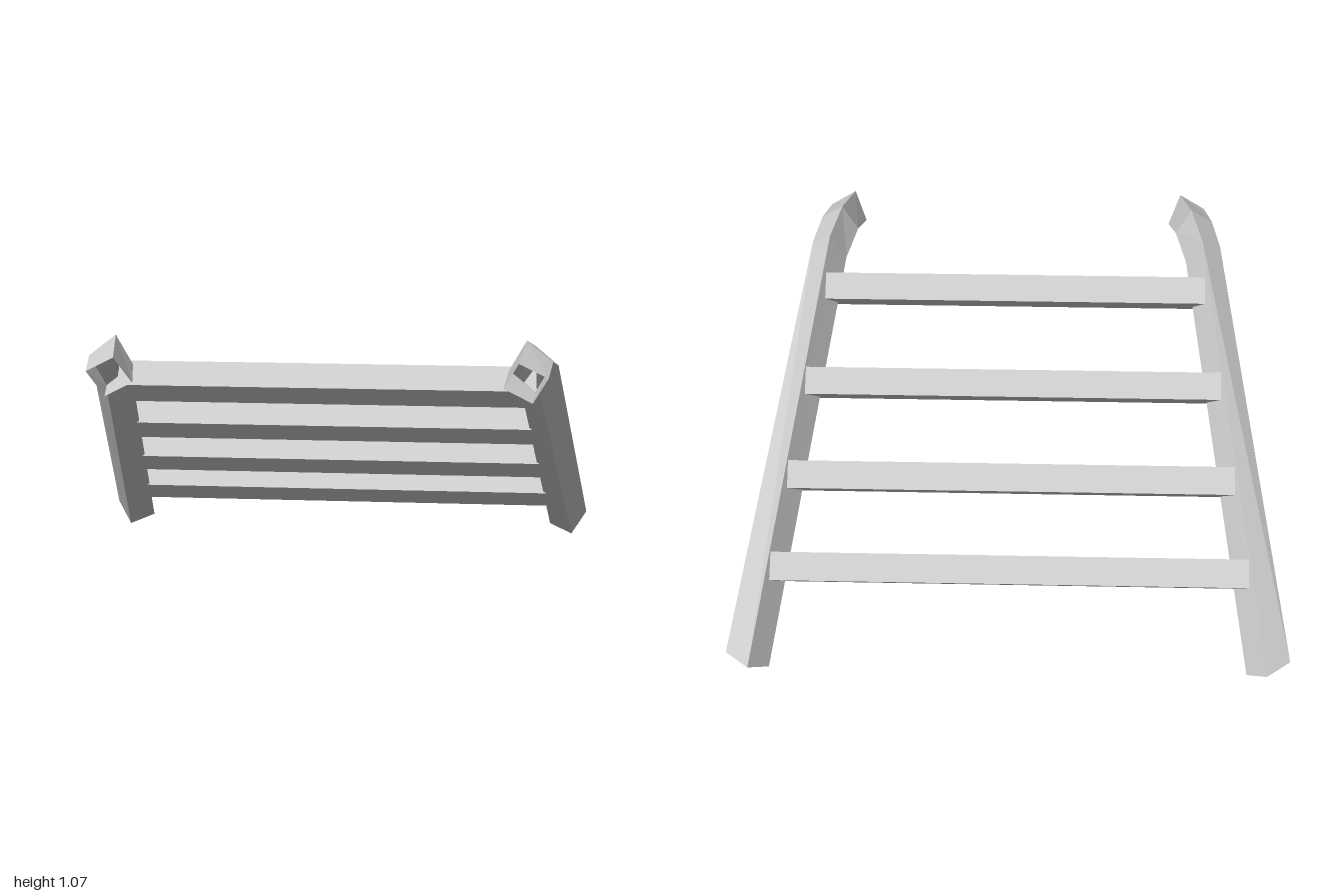
import * as THREE from 'three';

// Open square tube skinned through rings of four corners (top, outer, bottom, inner)
function squareTube(rings) {
  const pos = [];
  for (let r = 0; r < rings.length - 1; r++) {
    for (let i = 0; i < 4; i++) {
      const j = (i + 1) % 4;
      const a = rings[r][i], b = rings[r][j], c = rings[r + 1][j], d = rings[r + 1][i];
      pos.push(...a, ...c, ...b, ...a, ...d, ...c);
    }
  }
  const geometry = new THREE.BufferGeometry();
  geometry.setAttribute('position', new THREE.Float32BufferAttribute(pos, 3));
  geometry.computeVertexNormals();
  return geometry;
}

export function createModel() {
  const group = new THREE.Group();
  const material = new THREE.MeshStandardMaterial({ color: 0xcccccc, flatShading: true });
  const tubeMaterial = material.clone();
  tubeMaterial.side = THREE.DoubleSide;

  // Rail sections: foot, start of bend, end of bend, hooked tip
  const rings = [
    [[0.91, 0.083, -0.85], [1.0, 0.075, -0.77], [0.935, 0, -0.69], [0.85, 0.017, -0.78]],
    [[0.71, 1.02, 0.51], [0.785, 0.965, 0.56], [0.73, 0.86, 0.58], [0.655, 0.915, 0.53]],
    [[0.675, 1.065, 0.66], [0.76, 1.0, 0.69], [0.705, 0.9, 0.69], [0.62, 0.965, 0.66]],
    [[0.645, 1.025, 0.85], [0.74, 0.975, 0.83], [0.695, 0.88, 0.77], [0.6, 0.93, 0.785]],
  ];
  for (const side of [1, -1]) {
    // Mirroring reverses the corner order, so the rings are reversed to keep faces outward
    const mirrored = rings.map((ring) => ring.map(([x, y, z]) => [side * x, y, z]));
    const rail = new THREE.Mesh(squareTube(side > 0 ? mirrored : mirrored.reverse()), tubeMaterial);
    rail.name = side > 0 ? 'leftRail' : 'rightRail';
    group.add(rail);
  }

  // Square rungs set on edge: y, z, half length
  const rungs = [
    [0.245, -0.503, 0.86],
    [0.44, -0.221, 0.815],
    [0.645, 0.079, 0.772],
    [0.855, 0.402, 0.72],
  ];
  rungs.forEach(([y, z, half], i) => {
    const geometry = new THREE.CylinderGeometry(0.072, 0.072, 2 * half, 4).rotateZ(Math.PI / 2);
    const rung = new THREE.Mesh(geometry, material);
    rung.position.set(0, y, z);
    rung.name = `rung${i + 1}`;
    group.add(rung);
  });
  return group;
}
